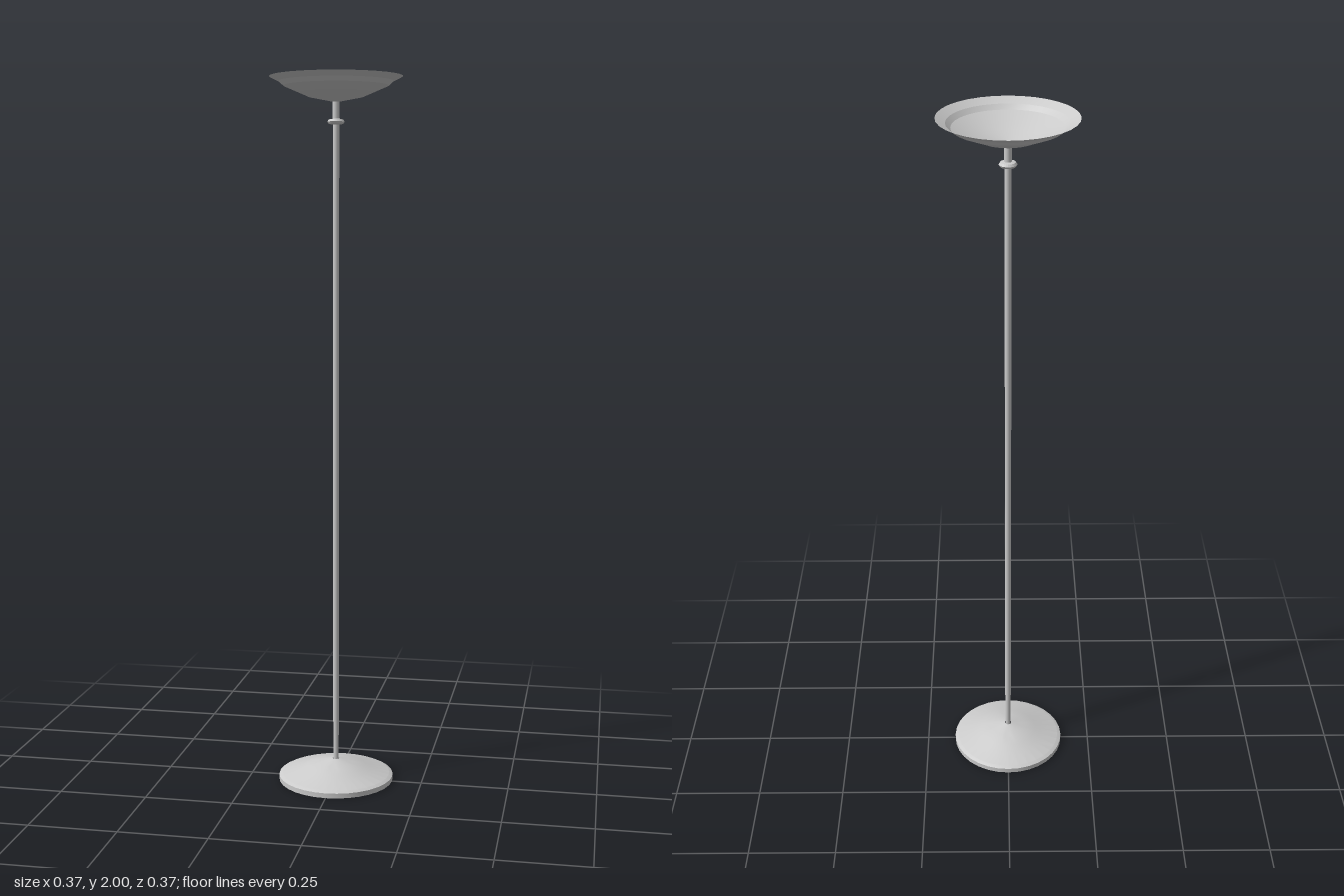
import * as THREE from 'three';
import { toCreasedNormals } from 'three/addons/utils/BufferGeometryUtils.js';

const material = new THREE.MeshStandardMaterial({ color: 0xcccccc, side: THREE.DoubleSide });

// Revolve a [radius, height] profile, listed from bottom to top
function turned(name, profile, segments) {
  const points = profile.map(([r, y]) => new THREE.Vector2(r, y));
  const geometry = toCreasedNormals(new THREE.LatheGeometry(points, segments), 0.22);
  const mesh = new THREE.Mesh(geometry, material);
  mesh.name = name;
  return mesh;
}

// Open tube, smooth around its axis
function tube(name, radius, bottom, top) {
  const geometry = new THREE.CylinderGeometry(radius, radius, top - bottom, 16, 1, true);
  const mesh = new THREE.Mesh(geometry, material);
  mesh.position.y = (bottom + top) / 2;
  mesh.name = name;
  return mesh;
}

export function createModel() {
  const lamp = new THREE.Group();
  lamp.name = 'floorLamp';

  // Hollow stepped foot
  lamp.add(turned('base', [
    [0.165, 0], [0.165, 0.014], [0.155, 0.019], [0.1, 0.033],
    [0.085, 0.04], [0.05, 0.049], [0.01, 0.06],
  ], 32));

  // Pole with a slimmer foot section and a neck under the bowl
  lamp.add(tube('poleFoot', 0.008, 0.03, 0.17));
  lamp.add(tube('pole', 0.009, 0.17, 1.88));
  lamp.add(tube('neck', 0.01, 1.88, 1.935));

  // Rounded collar ring
  lamp.add(turned('collar', [
    [0.009, 1.87], [0.02, 1.872], [0.024, 1.878], [0.02, 1.884], [0.009, 1.886],
  ], 24));

  // Thin uplight bowl with a flared rim
  lamp.add(turned('bowl', [
    [0.01, 1.932], [0.075, 1.945], [0.145, 1.975], [0.158, 1.987], [0.184, 2],
  ], 32));

  return lamp;
}
